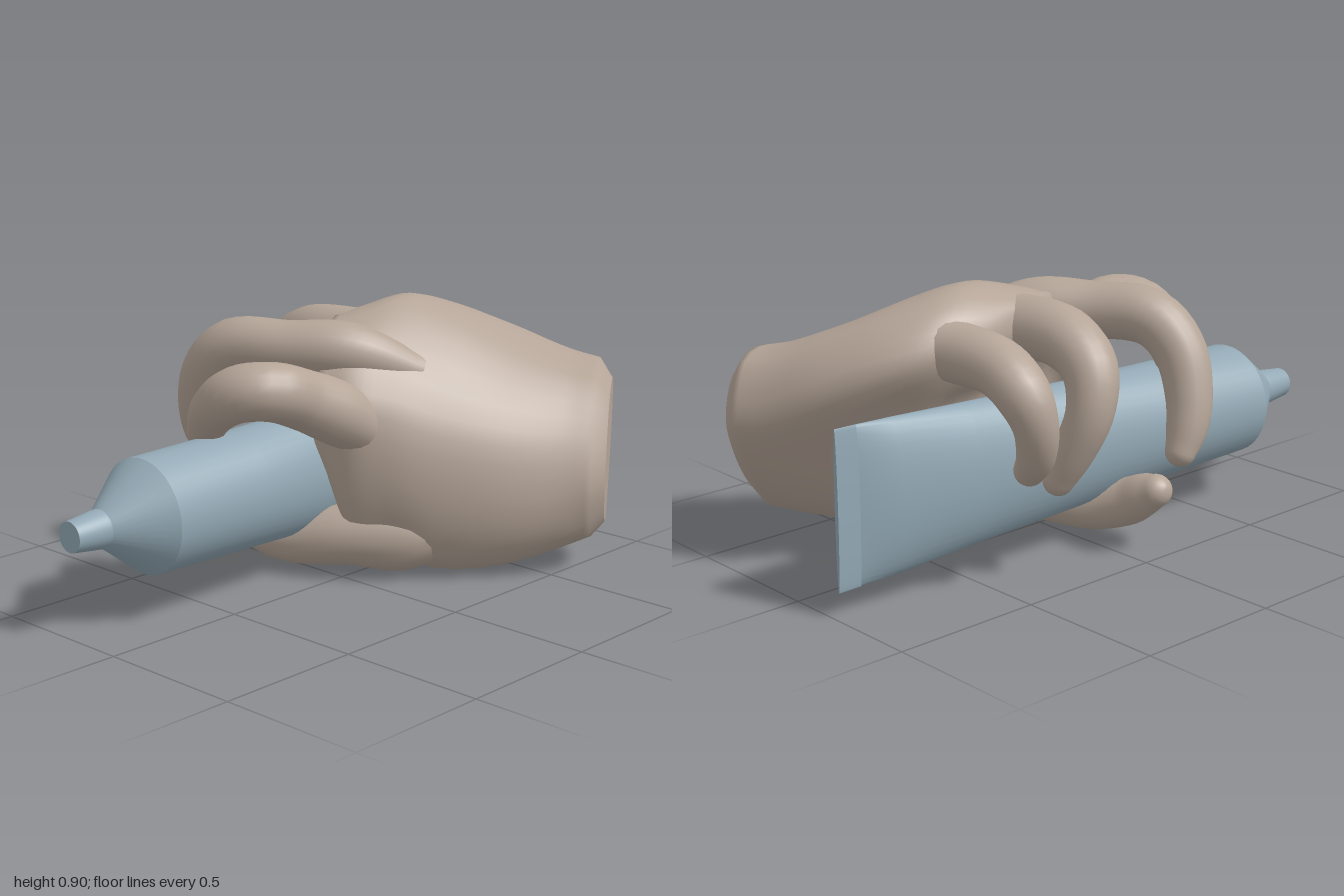
import * as THREE from 'three';

const V = (x, y, z) => new THREE.Vector3(x, y, z);
const skin = new THREE.MeshStandardMaterial({ color: 0xb5a598 });
const foil = new THREE.MeshStandardMaterial({ color: 0x93a9b5 });

// Closed skin over a list of equal-length rings, with crisp flat end caps
function loft(rings) {
  const n = rings[0].length, pos = [], idx = [];
  rings.forEach(r => r.forEach(p => pos.push(p.x, p.y, p.z)));
  for (let i = 0; i < rings.length - 1; i++)
    for (let j = 0; j < n; j++) {
      const a = i * n + j, b = i * n + (j + 1) % n;
      idx.push(a, b, a + n, b, b + n, a + n);
    }
  [rings[0], rings[rings.length - 1]].forEach((r, end) => {
    const base = pos.length / 3, c = V(0, 0, 0);
    r.forEach(p => { pos.push(p.x, p.y, p.z); c.addScaledVector(p, 1 / n); });
    pos.push(c.x, c.y, c.z);
    for (let j = 0; j < n; j++) {
      const a = base + j, b = base + (j + 1) % n;
      idx.push(base + n, ...(end ? [a, b] : [b, a]));
    }
  });
  // Turn the faces outwards if the enclosed volume is negative
  const at = i => V(pos[3 * i], pos[3 * i + 1], pos[3 * i + 2]);
  let volume = 0;
  for (let i = 0; i < idx.length; i += 3)
    volume += at(idx[i]).dot(at(idx[i + 1]).cross(at(idx[i + 2])));
  if (volume < 0) idx.reverse();
  const g = new THREE.BufferGeometry();
  g.setAttribute('position', new THREE.Float32BufferAttribute(pos, 3));
  g.setIndex(idx);
  g.computeVertexNormals();
  return g;
}

function add(group, name, geometry, material) {
  const m = new THREE.Mesh(geometry, material);
  m.name = name;
  group.add(m);
}

// Rounded limb through stations [x, y, z, radius]
function limb(stations) {
  const curve = new THREE.CatmullRomCurve3(stations.map(s => V(s[0], s[1], s[2])), false, 'centripetal');
  const N = 36, sides = 20, frames = curve.computeFrenetFrames(N);
  const radii = new THREE.CatmullRomCurve3(stations.map((s, i) => V(i, s[3], 0)));
  const total = curve.getLength();
  const rings = [];
  const ring = (p, k, r) => rings.push(Array.from({ length: sides }, (_, j) => {
    const a = j / sides * Math.PI * 2;
    return p.clone().addScaledVector(frames.normals[k], r * Math.cos(a))
      .addScaledVector(frames.binormals[k], r * Math.sin(a));
  }));
  for (let i = 0; i <= N; i++) {
    const t = curve.getUtoTmapping(i / N, i / N * total);
    ring(curve.getPoint(t), i, radii.getPoint(t).y);
  }
  // Round fingertip
  const r = stations[stations.length - 1][3], tip = curve.getPoint(1);
  for (let k = 1; k <= 6; k++) {
    const a = k / 6 * 1.5;
    ring(tip.clone().addScaledVector(frames.tangents[N], r * Math.sin(a)), N, r * Math.cos(a));
  }
  return loft(rings);
}

// Palm cross-sections: distance t from the wrist cut, then [side, height] points
const palmSections = [
  [0, [[-.18, .67], [-.265, .52], [-.21, .37], [-.07, .19], [.06, .11], [.17, .13], [.24, .2], [.28, .33], [.22, .5], [.08, .65]]],
  [.1, [[-.2, .69], [-.28, .53], [-.22, .38], [-.07, .18], [.08, .09], [.2, .09], [.28, .16], [.31, .3], [.25, .5], [.08, .67]]],
  [.3, [[-.2, .77], [-.31, .62], [-.22, .42], [-.08, .2], [.08, .07], [.24, .03], [.34, .12], [.38, .3], [.32, .53], [.08, .74]]],
  [.5, [[-.18, .84], [-.3, .7], [-.2, .52], [-.05, .25], [.1, .05], [.25, .01], [.37, .1], [.43, .32], [.38, .58], [.1, .84]]],
  [.65, [[-.14, .87], [-.24, .74], [-.16, .61], [.03, .5], [.14, .15], [.25, .05], [.38, .13], [.46, .38], [.42, .64], [.1, .9]]],
  [.78, [[-.05, .85], [-.1, .75], [.01, .65], [.2, .56], [.3, .25], [.36, .15], [.42, .21], [.47, .42], [.46, .66], [.2, .87]]],
  [.88, [[.1, .84], [.08, .77], [.15, .69], [.28, .63], [.36, .5], [.39, .44], [.41, .43], [.43, .5], [.44, .66], [.28, .83]]],
];

function palm() {
  const sides = 40;
  const rough = palmSections.map(([t, pts]) => {
    const loop = new THREE.CatmullRomCurve3(pts.map(([s, y]) =>
      V(.47 - .84 * t + .55 * s, y, -.77 + .55 * t + .84 * s)), true, 'centripetal');
    return Array.from({ length: sides }, (_, j) => loop.getPoint(j / sides));
  });
  const rails = rough[0].map((_, j) => new THREE.CatmullRomCurve3(rough.map(r => r[j])));
  const rings = Array.from({ length: 31 }, (_, i) => rails.map(c => c.getPoint(i / 30)));
  // Bevelled wrist end and rounded knuckle end
  const inset = (ring, k, dx, dz) => {
    const c = ring.reduce((sum, p) => sum.addScaledVector(p, 1 / sides), V(0, 0, 0));
    return ring.map(p => p.clone().lerp(c, k).add(V(dx, 0, dz)));
  };
  const wrist = rings[0], knuckles = rings[30];
  rings.unshift(inset(wrist, .2, .038, -.025));
  rings.push(inset(knuckles, .2, -.02, .013), inset(knuckles, .6, -.035, .022));
  return loft(rings);
}

const digits = {
  indexFinger: [[.1, .46, -.12, .06], [.045, .58, .04, .105], [.015, .66, .2, .1], [.01, .71, .34, .095],
    [-.07, .7, .405, .092], [-.18, .63, .405, .08], [-.26, .54, .375, .06]],
  middleFinger: [[.13, .69, -.24, .06], [-.03, .765, -.07, .1], [-.2, .775, .05, .092], [-.38, .768, .13, .092],
    [-.48, .68, .155, .085], [-.54, .54, .14, .075], [-.56, .44, .11, .065], [-.565, .38, .08, .05]],
  ringFinger: [[.12, .7, -.4, .06], [-.03, .765, -.29, .1], [-.15, .77, -.25, .1], [-.35, .76, -.22, .098],
    [-.47, .69, -.23, .088], [-.505, .57, -.26, .075], [-.46, .43, -.29, .065], [-.42, .34, -.31, .05]],
  littleFinger: [[.1, .68, -.62, .06], [-.07, .745, -.55, .1], [-.2, .74, -.52, .095], [-.37, .72, -.5, .09],
    [-.47, .66, -.5, .085], [-.5, .57, -.48, .07], [-.47, .46, -.45, .06], [-.42, .4, -.43, .05]],
  thumb: [[.26, .22, -.38, .06], [.13, .155, -.2, .13], [-.02, .145, -.04, .105], [-.2, .12, .05, .09],
    [-.33, .15, .085, .08], [-.41, .195, .09, .068], [-.45, .215, .09, .055]],
};

// Stretch of squeeze tube through stations [z, half width, half height]
function tubePart(stations) {
  const sides = 40;
  return loft(stations.map(([z, a, b]) => Array.from({ length: sides }, (_, j) => {
    const t = j / sides * Math.PI * 2;
    return V(-.19 + a * Math.cos(t), .34 + b * Math.sin(t), z);
  })));
}

export function createModel() {
  const model = new THREE.Group();

  // Hand gripping the tube
  const hand = new THREE.Group();
  hand.name = 'hand';
  add(hand, 'palm', palm(), skin);
  for (const name in digits) add(hand, name, limb(digits[name]), skin);

  // Tube: round at the shoulder, pressed flat at the tail
  const tube = new THREE.Group();
  tube.name = 'squeezeTube';
  add(tube, 'tubeBody', tubePart([[.71, .187, .19], [.3, .17, .2], [-.1, .14, .215],
    [-.5, .1, .235], [-.78, .065, .25], [-.91, .01, .255]]), foil);
  add(tube, 'crimpedTail', tubePart([[-.9, .012, .255], [-.985, .008, .256]]), foil);
  add(tube, 'shoulder', tubePart([[.71, .187, .19], [.88, .062, .062]]), foil);
  add(tube, 'cap', tubePart([[.87, .062, .062], [.89, .063, .063], [1, .05, .05]]), foil);

  model.add(hand, tube);
  return model;
}
